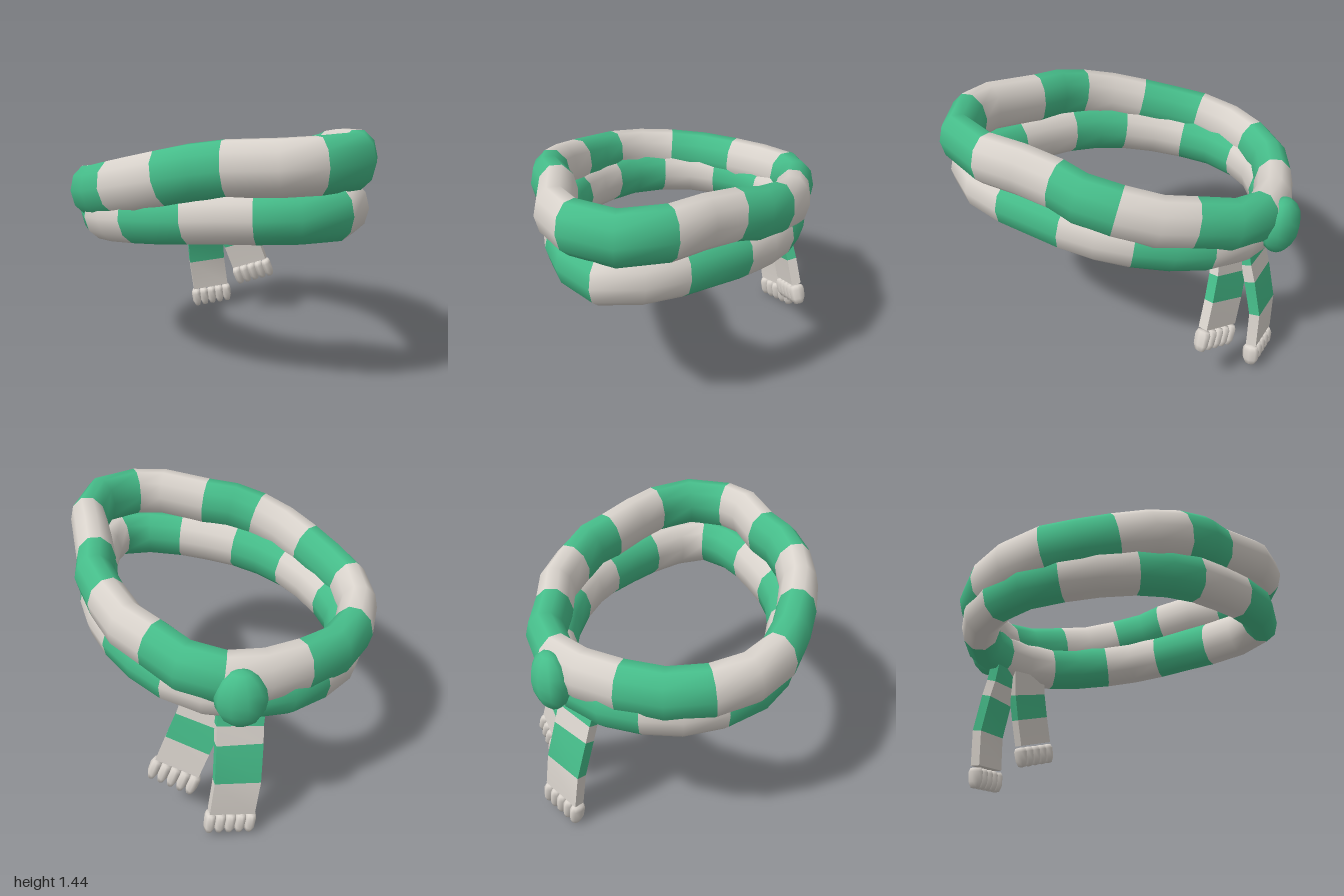
import * as THREE from 'three';
import { toCreasedNormals } from 'three/addons/utils/BufferGeometryUtils.js';

const green = new THREE.MeshStandardMaterial({ color: 0x46bd8a });
green.name = 'green wool';
const cream = new THREE.MeshStandardMaterial({ color: 0xd9d3cc });
cream.name = 'cream wool';
const wool = [green, cream];
const V = (x, y, z) => new THREE.Vector3(x, y, z);

// Sweep a counter-clockwise section along a path; colorOf(i) picks the stripe of segment i.
function sweep(path, section, closed, sideOf, colorOf) {
  const n = path.length, m = section.length, pos = [], index = [];
  const geo = new THREE.BufferGeometry();
  path.forEach((p, i) => {
    const prev = closed ? path[(i + n - 1) % n] : path[Math.max(i - 1, 0)];
    const next = closed ? path[(i + 1) % n] : path[Math.min(i + 1, n - 1)];
    const t = next.clone().sub(prev).normalize();
    const s = sideOf(t);
    s.addScaledVector(t, -s.dot(t)).normalize();
    const u = s.clone().cross(t);
    for (const [a, b] of section) {
      pos.push(...p.clone().addScaledVector(s, a).addScaledVector(u, b).toArray());
    }
  });
  const segments = closed ? n : n - 1;
  for (let i = 0; i < segments; i++) {
    geo.addGroup(index.length, m * 6, colorOf(i));
    for (let j = 0; j < m; j++) {
      const k = (j + 1) % m, a = i * m, b = ((i + 1) % n) * m;
      index.push(a + j, b + j, b + k, a + j, b + k, a + k);
    }
  }
  if (!closed) { // end caps
    const e = (n - 1) * m;
    geo.addGroup(index.length, (m - 2) * 3, colorOf(0));
    for (let j = 1; j < m - 1; j++) index.push(0, j, j + 1);
    geo.addGroup(index.length, (m - 2) * 3, colorOf(segments - 1));
    for (let j = 1; j < m - 1; j++) index.push(e, e + j + 1, e + j);
  }
  geo.setAttribute('position', new THREE.Float32BufferAttribute(pos, 3));
  geo.setIndex(index);
  return toCreasedNormals(geo, 1.25);
}

// Piecewise linear height of a loop from back to front
function heightAt(stops, z) {
  let i = 0;
  while (i < stops.length - 2 && z > stops[i + 1][0]) i++;
  const [z0, y0] = stops[i], [z1, y1] = stops[i + 1];
  return THREE.MathUtils.lerp(y0, y1, THREE.MathUtils.clamp((z - z0) / (z1 - z0), 0, 1));
}

// One striped loop around the neck, two segments to a stripe
function loop(name, plan, heights, rw, rh, firstColor) {
  const path = plan.map(([x, z]) => V(x, heightAt(heights, z), z));
  const section = Array.from({ length: 10 }, (_, j) => {
    const a = (j / 10) * Math.PI * 2;
    return [Math.cos(a) * rw, Math.sin(a) * rh];
  });
  const geo = sweep(path, section, true, t => t.clone().cross(V(0, 1, 0)),
    i => (Math.floor(i / 2) + firstColor) % 2);
  const mesh = new THREE.Mesh(geo, wool);
  mesh.name = name;
  return mesh;
}

// A flat hanging end with a row of tassels
function tail(name, path, width, firstColor) {
  const group = new THREE.Group();
  group.name = name;
  const w = 0.125, d = 0.03;
  const strip = new THREE.Mesh(
    sweep(path, [[w, -d], [w, d], [-w, d], [-w, -d]], false, () => width.clone(),
      i => (i + firstColor) % 2), wool);
  strip.name = 'hangingStrip';
  group.add(strip);

  const end = path[path.length - 1];
  const up = path[path.length - 2].clone().sub(end).normalize();
  const side = width.clone().addScaledVector(up, -width.dot(up)).normalize();
  const fringe = new THREE.Group();
  fringe.name = 'fringe';
  fringe.quaternion.setFromRotationMatrix(
    new THREE.Matrix4().makeBasis(side, up, side.clone().cross(up)));
  fringe.position.copy(end).addScaledVector(up, -0.072);
  const profile = [[0, -0.065], [0.03, -0.06], [0.047, -0.025], [0.05, 0.035], [0.038, 0.058], [0, 0.062]]
    .map(([r, y]) => new THREE.Vector2(r, y));
  const geo = new THREE.LatheGeometry(profile, 8);
  for (let i = -2; i <= 2; i++) {
    const tassel = new THREE.Mesh(geo, cream);
    tassel.name = 'tassel';
    tassel.position.x = i * 0.056;
    tassel.scale.x = 0.66;
    fringe.add(tassel);
  }
  group.add(fringe);
  return group;
}

export function createModel() {
  const model = new THREE.Group();
  model.name = 'stripedScarf';

  // Upper loop, from the back around the right side
  const upperPlan = [
    [0.11, -0.87], [-0.12, -0.89], [-0.335, -0.83], [-0.51, -0.71], [-0.63, -0.53], [-0.67, -0.35],
    [-0.685, -0.15], [-0.68, 0.05], [-0.63, 0.23], [-0.545, 0.38], [-0.43, 0.5], [-0.29, 0.76],
    [-0.14, 0.865], [0.11, 0.885], [0.31, 0.72], [0.41, 0.53], [0.51, 0.345], [0.6, 0.23],
    [0.65, 0.045], [0.68, -0.16], [0.64, -0.34], [0.61, -0.55], [0.5, -0.72], [0.32, -0.82]];
  model.add(loop('upperLoop', upperPlan,
    [[-0.9, 0.975], [-0.35, 1.07], [0, 1.15], [0.45, 1.265], [0.9, 1.3]], 0.109, 0.15, 0));

  // Lower loop, symmetric in plan
  const half = [
    [0, 0.87], [0.18, 0.78], [0.33, 0.62], [0.43, 0.47], [0.53, 0.31], [0.6, 0.14], [0.635, -0.04],
    [0.635, -0.24], [0.6, -0.43], [0.52, -0.61], [0.37, -0.76], [0.19, -0.85], [0, -0.87]];
  const lowerPlan = [...half, ...half.slice(1, -1).reverse().map(([x, z]) => [-x, z])];
  model.add(loop('lowerLoop', lowerPlan,
    [[-0.87, 0.86], [-0.4, 0.9], [0, 0.96], [0.4, 1.01], [0.87, 1.04]], 0.112, 0.143, 1));

  // Knot at the back left
  const knot = new THREE.Mesh(new THREE.SphereGeometry(1, 10, 8), green);
  knot.name = 'knot';
  knot.scale.set(0.135, 0.165, 0.095);
  knot.position.set(0.49, 0.945, -0.835);
  knot.rotation.y = Math.PI * 0.75;
  model.add(knot);

  // Hanging ends
  model.add(tail('longTail', [V(0.34, 0.88, -0.7), V(0.4, 0.67, -0.735), V(0.42, 0.57, -0.76),
    V(0.465, 0.36, -0.8), V(0.495, 0.15, -0.795)], V(0.83, 0.12, 0.5), 0));
  model.add(tail('shortTail', [V(0.46, 0.86, -0.585), V(0.53, 0.665, -0.57), V(0.585, 0.52, -0.545),
    V(0.635, 0.365, -0.515)], V(0.56, 0.37, 0.74), 1));
  return model;
}
